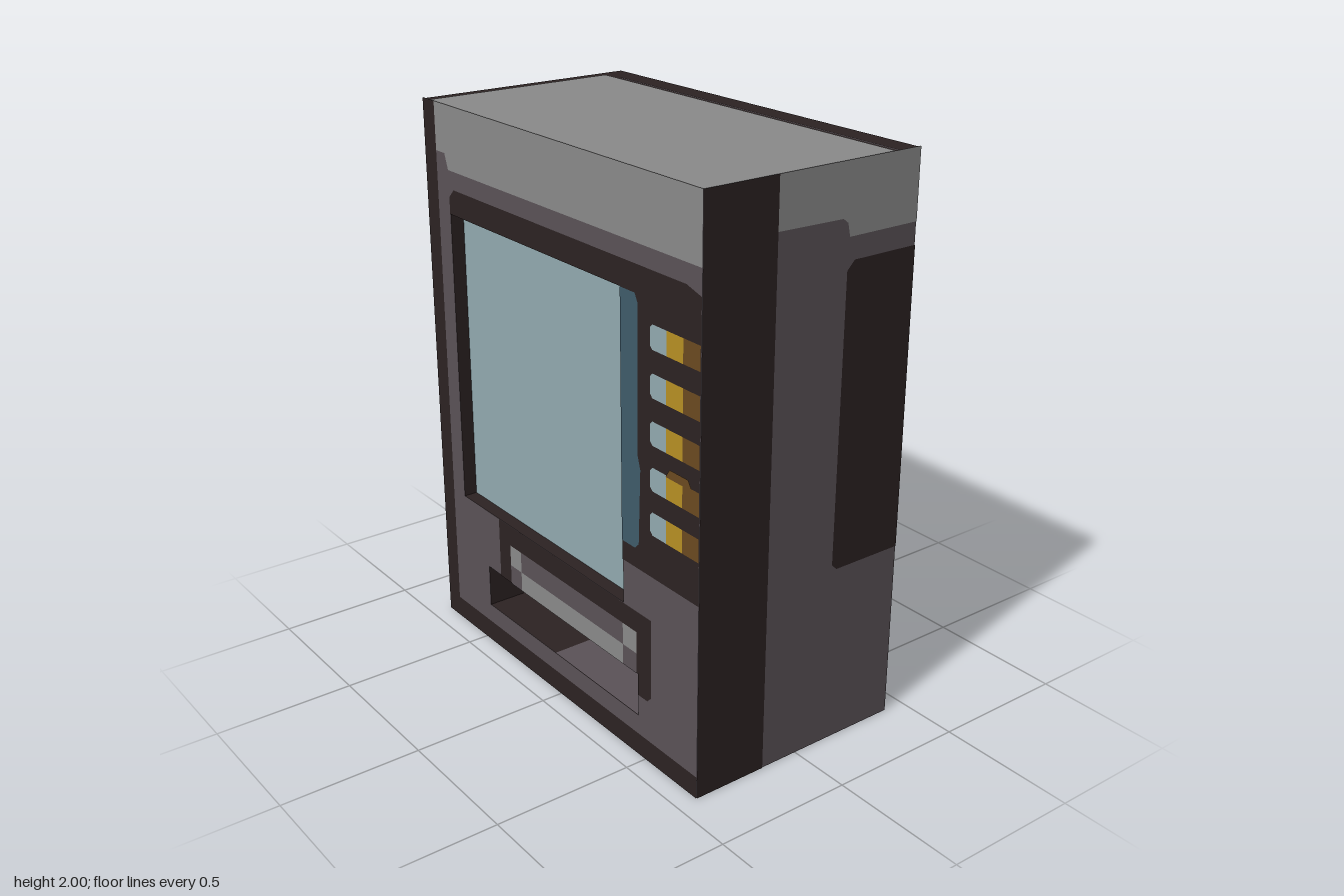
import * as THREE from 'three';

const W = 0.77, D = 0.42, H = 2, STEP = 0.002;

export function createModel() {
  const mat = (name, color) => {
    const m = new THREE.MeshStandardMaterial({ color });
    m.name = name;
    return m;
  };
  const dark = mat('darkTrim', 0x2c2222);
  const mid = mat('greyCasing', 0x5a5257);
  const light = mat('lightPanel', 0x8a8a8a);
  const base = mat('underside', 0x565656);
  const glass = mat('paleGlass', 0x92aab0);
  const teal = mat('deepGlass', 0x3f5b6a);
  const yellow = mat('yellowButton', 0xb79024);
  const brown = mat('brownButton', 0x6b4a20);

  const model = new THREE.Group();
  model.name = 'vendingMachine';

  // One flat side of the cabinet, drawn on in its own x and y
  const side = (name, pos, rx = 0, ry = 0) => {
    const g = new THREE.Group();
    g.name = name;
    g.position.set(...pos);
    g.rotation.set(rx, ry, 0);
    model.add(g);
    return g;
  };
  const polygon = (g, name, m, pts, layer = 0, holes = []) => {
    const toPts = (a) => a.map(([x, y]) => new THREE.Vector2(x, y));
    const s = new THREE.Shape(toPts(pts));
    for (const h of holes) s.holes.push(new THREE.Path(toPts(h)));
    const mesh = new THREE.Mesh(new THREE.ShapeGeometry(s), m);
    mesh.name = name;
    mesh.position.z = layer * STEP;
    g.add(mesh);
    return mesh;
  };
  // Rectangle with corners cut by c
  const corners = (x0, x1, y0, y1, c = 0) => c
    ? [[x0 + c, y0], [x1 - c, y0], [x1, y0 + c], [x1, y1 - c], [x1 - c, y1], [x0 + c, y1], [x0, y1 - c], [x0, y0 + c]]
    : [[x0, y0], [x1, y0], [x1, y1], [x0, y1]];
  const rect = (g, name, m, x0, x1, y0, y1, layer = 0, c = 0) =>
    polygon(g, name, m, corners(x0, x1, y0, y1, c), layer);

  // Chequered hatch of two rows and three columns
  const hatch = (g, name, xs, ys) => {
    for (let r = 0; r < 2; r++) for (let c = 0; c < 3; c++)
      rect(g, name, (r + c) % 2 ? light : mid, xs[c], xs[c + 1], ys[r], ys[r + 1], 2);
  };

  // Front wall with openings for the window and the delivery slot
  const front = side('front', [0, 0, D]);
  const win = [-0.62, 0.38, 0.54, 1.62], slot = [-0.465, 0.46, 0.15, 0.31];
  polygon(front, 'frontWall', mid, corners(-W, W, 0, H), 0, [corners(...win), corners(...slot)]);
  rect(front, 'leftTrim', dark, -W, -0.695, 0, H, 1);
  rect(front, 'bottomTrim', dark, -0.695, W, 0, 0.08, 1);
  polygon(front, 'topSign', light,
    [[-0.695, 1.83], [-0.64, 1.83], [-0.62, 1.775], [W, 1.775], [W, H], [-0.695, H]], 1);
  polygon(front, 'controlPanel', dark, [[-0.62, 1.62], [0.38, 1.62], [0.38, 0.7], [W, 0.7],
    [W, 1.69], [0.7, 1.71], [-0.59, 1.71], [-0.62, 1.68]], 1);
  polygon(front, 'windowEdge', teal, [[0.38, 0.77], [0.45, 0.77], [0.47, 0.79], [0.48, 1.05],
    [0.465, 1.1], [0.47, 1.59], [0.455, 1.62], [0.38, 1.62]], 2);

  // Selection buttons
  [1.505, 1.35, 1.195, 1.042, 0.89].forEach((y, i) => {
    rect(front, 'buttonLabel', glass, 0.53, 0.61, y - 0.04, y + 0.04, 2, 0.012);
    rect(front, 'buttonLabel', glass, 0.57, 0.61, y - 0.04, y + 0.04, 2);
    rect(front, 'buttonFace', yellow, 0.61, 0.69, y - 0.04, y + 0.04, 2);
    rect(front, 'buttonShade', brown, 0.69, W, y - 0.04, y + 0.04, 2);
    if (i === 3) polygon(front, 'buttonShade', brown,
      [[0.61, y + 0.035], [0.74, y + 0.035], [0.72, y + 0.065], [0.63, y + 0.065]], 3);
  });

  // Delivery hatch above the slot
  polygon(front, 'hatchFrame', dark, [[-0.38, 0.31], [0.46, 0.31], [0.46, 0.23], [0.51, 0.23],
    [0.53, 0.25], [0.53, 0.54], [-0.38, 0.54]], 1);
  hatch(front, 'frontHatch', [-0.305, -0.235, 0.38, 0.455], [0.31, 0.385, 0.465]);

  // Inner walls of a recess, open to the front
  const recess = (name, [x0, x1, y0, y1], depth, wall, back, right = wall) => {
    const wallSide = (n, m, pos, rx, ry, w, h) => {
      const mesh = new THREE.Mesh(new THREE.PlaneGeometry(w, h), m);
      mesh.name = name + n;
      mesh.position.set(...pos);
      mesh.rotation.set(rx, ry, 0);
      front.add(mesh);
    };
    const cx = (x0 + x1) / 2, cy = (y0 + y1) / 2, w = x1 - x0, h = y1 - y0, q = Math.PI / 2;
    wallSide('Back', back, [cx, cy, -depth], 0, 0, w, h);
    wallSide('Side', wall, [x0, cy, -depth / 2], 0, q, depth, h);
    wallSide('Side', right, [x1, cy, -depth / 2], 0, -q, depth, h);
    wallSide('Floor', wall, [cx, y0, -depth / 2], -q, 0, w, depth);
    wallSide('Ceiling', wall, [cx, y1, -depth / 2], q, 0, w, depth);
  };
  recess('window', win, 0.05, dark, glass);
  recess('slot', slot, 0.4, dark, mid, mid);
  rect(front, 'slotBackTrim', dark, -0.38, 0.46, 0.235, 0.31).position.z = -0.398;
  const floor = rect(front, 'slotFloorPlate', mid, -0.03, 0.46, 0, 0.398);
  floor.rotation.x = -Math.PI / 2;
  floor.position.y = 0.152;

  // Matching left and right walls; s mirrors the layout so the dark trim is at the front
  for (const s of [1, -1]) {
    const g = side(s > 0 ? 'leftSide' : 'rightSide', [s * W, 0, 0], 0, s * Math.PI / 2);
    const put = (name, m, pts, layer) => polygon(g, name, m, pts.map(([z, y]) => [-s * z, y]), layer);
    put('sideWall', mid, corners(-D, D, 0, H), 0);
    put('sideFrontTrim', dark, corners(0.145, D, 0, H), 1);
    put('sideTopBand', light,
      [[0.145, H], [0.145, 1.83], [-0.11, 1.825], [-0.13, 1.81], [-0.14, 1.765], [-D, 1.765], [-D, H]], 1);
    put('sidePanel', dark,
      [[-D, 0.645], [-0.15, 0.645], [-0.13, 0.665], [-0.135, 1.66], [-0.165, 1.69], [-D, 1.69]], 1);
  }

  // Back wall with its service hatch (x runs the other way here)
  const back = side('back', [0, 0, -D], 0, Math.PI);
  rect(back, 'backWall', mid, -W, W, 0, H);
  rect(back, 'servicePanel', dark, -0.585, 0.497, 0.31, 1.665, 1, 0.03);
  hatch(back, 'serviceHatch', [-0.505, -0.41, 0.32, 0.41], [0.67, 0.995, 1.325]);

  // Roof
  const roof = side('roof', [0, H - 2 * STEP, 0], -Math.PI / 2);
  rect(roof, 'roofTrim', dark, -W, W, -D, D);
  rect(roof, 'roofPanel', light, -0.73, W, -D, 0.32, 1);
  rect(roof, 'roofSeam', mid, -0.65, W, 0.328, 0.338, 1);

  // Underside
  const under = side('underside', [0, 0, 0], Math.PI / 2);
  rect(under, 'basePlate', base, -0.29, W, -D, D);
  rect(under, 'baseTrim', dark, -W, -0.29, -D, D);

  return model;
}
